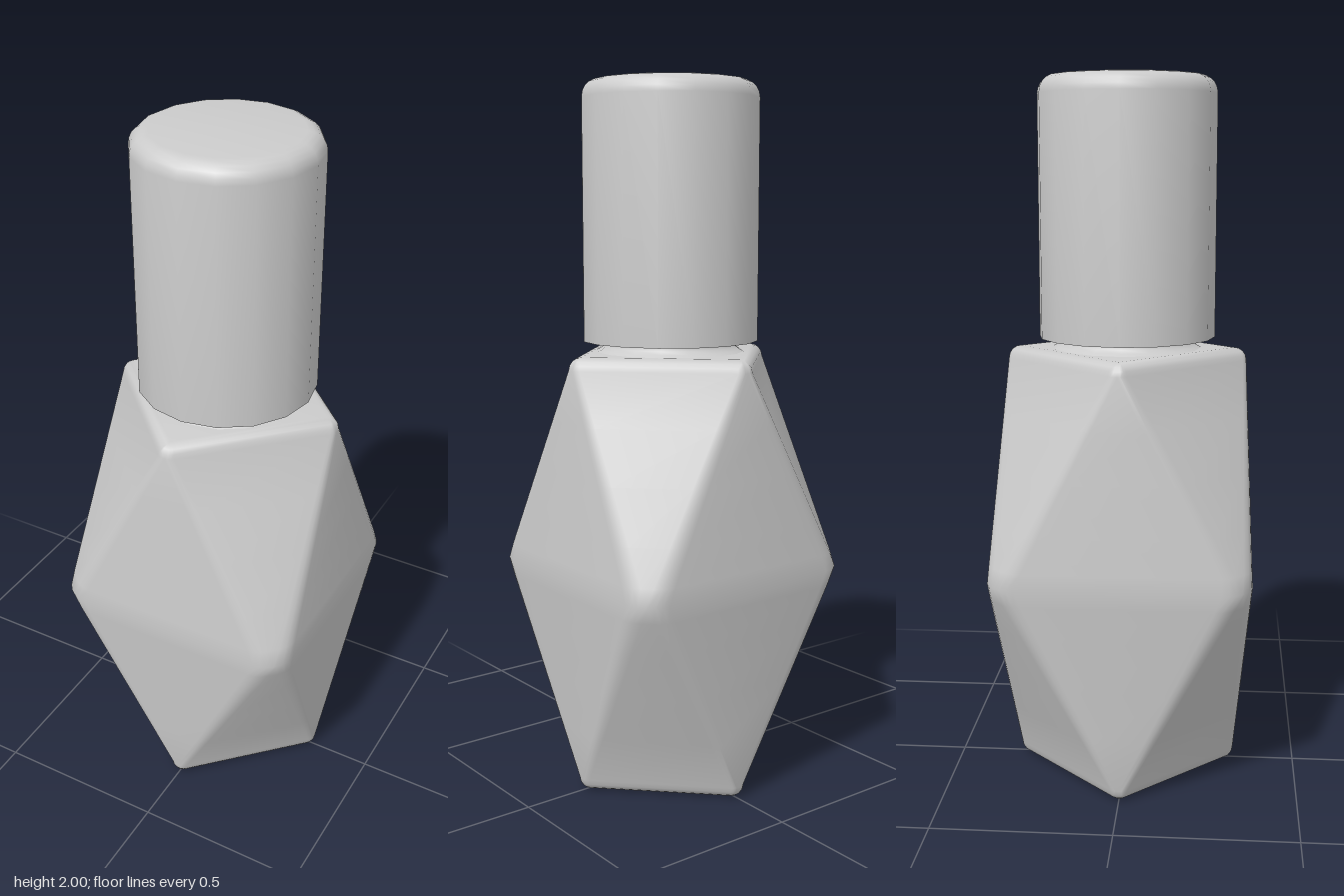
import * as THREE from 'three';
import { toCreasedNormals } from 'three/addons/utils/BufferGeometryUtils.js';

const material = new THREE.MeshStandardMaterial({ color: 0xcccccc });
const ARC = 3; // segments in each rounded corner

// Horizontal section: blend of a diamond (t = 0) and a square (t = 1), rounded by r
function section({ y, t = 0, tip, r = 0, half = 0.285 }) {
  const points = [];
  for (let k = 0; k < 8; k++) {
    const dAngle = Math.round((k + 0.5) / 2) * Math.PI / 2;
    const sAngle = (Math.floor(k / 2) + 0.5) * Math.PI / 2;
    for (let m = 0; m <= ARC; m++) {
      const a = (k + m / ARC) * Math.PI / 4;
      const mix = (f) => (1 - t) * tip * f(dAngle) + t * half * Math.SQRT2 * f(sAngle) + r * f(a);
      points.push(new THREE.Vector3(mix(Math.cos), y, mix(Math.sin)));
    }
  }
  return points;
}

// Skin between successive sections, leaving out collapsed triangles
function loft(rings) {
  const positions = [];
  const triangle = new THREE.Triangle();
  const add = (a, b, c) => {
    if (triangle.set(a, b, c).getArea() > 1e-8) {
      for (const p of [a, b, c]) positions.push(p.x, p.y, p.z);
    }
  };
  for (let i = 0; i < rings.length - 1; i++) {
    const low = rings[i], high = rings[i + 1];
    for (let j = 0; j < low.length; j++) {
      const n = (j + 1) % low.length;
      add(low[j], high[j], low[n]);
      add(low[n], high[j], high[n]);
    }
  }
  const geometry = new THREE.BufferGeometry();
  geometry.setAttribute('position', new THREE.Float32BufferAttribute(positions, 3));
  return toCreasedNormals(geometry, 0.7);
}

function bottleGeometry() {
  const R = 0.035, H = 1.25, MID = 0.63, BASE = 0.285, TOP = 0.305;
  const steps = [0, 0.25, 0.5, 0.75, 1].map((s) => s * Math.PI / 2);
  const profile = [
    // recess under the base
    { y: 0.07, tip: 0 },
    { y: 0.07, tip: 0.185 },
    { y: 0.03, tip: 0.2, r: 0.005 },
    { y: 0.008, tip: 0.215, r: 0.008 },
    { y: 0, tip: 0.235, r: 0.01 },
  ];
  // rounded lower edge
  for (const a of steps) {
    profile.push({ y: R - R * Math.cos(a), tip: BASE, r: R * Math.sin(a) });
  }
  // facets twisting from diamond to square and back
  for (const t of [0.25, 0.5, 0.75, 0.92]) {
    profile.push({ y: R + (MID - R) * t, t, tip: BASE, r: R + 0.045 * t });
  }
  profile.push({ y: MID, t: 0.985, tip: TOP, r: 0.08 });
  for (const t of [0.92, 0.75, 0.5, 0.25]) {
    profile.push({ y: H - R - (H - R - MID) * t, t, tip: TOP, r: R + 0.045 * t });
  }
  // rounded shoulder and flat top
  for (const a of steps) {
    profile.push({ y: H - R + R * Math.sin(a), tip: TOP, r: R * Math.cos(a) });
  }
  profile.push({ y: H, tip: 0 });
  return loft(profile.map(section));
}

// Turned part from [radius, height] pairs
function turned(points) {
  const geometry = new THREE.LatheGeometry(points.map(([x, y]) => new THREE.Vector2(x, y)), 16);
  return toCreasedNormals(geometry, 0.7);
}

export function createModel() {
  const group = new THREE.Group();
  const add = (name, geometry) => {
    const mesh = new THREE.Mesh(geometry, material);
    mesh.name = name;
    group.add(mesh);
  };

  add('bottle', bottleGeometry());

  // short flared neck between bottle and cap
  add('neck', turned([[0.215, 1.248], [0.2, 1.256], [0.187, 1.265], [0.182, 1.275], [0.182, 1.32]]));

  // cap with a rounded top edge
  const cap = [[0, 1.28], [0.25, 1.28]];
  for (let i = 0; i <= 5; i++) {
    const a = i / 5 * Math.PI / 2;
    cap.push([0.2 + 0.05 * Math.cos(a), 1.95 + 0.05 * Math.sin(a)]);
  }
  cap.push([0, 2]);
  add('cap', turned(cap));

  return group;
}
